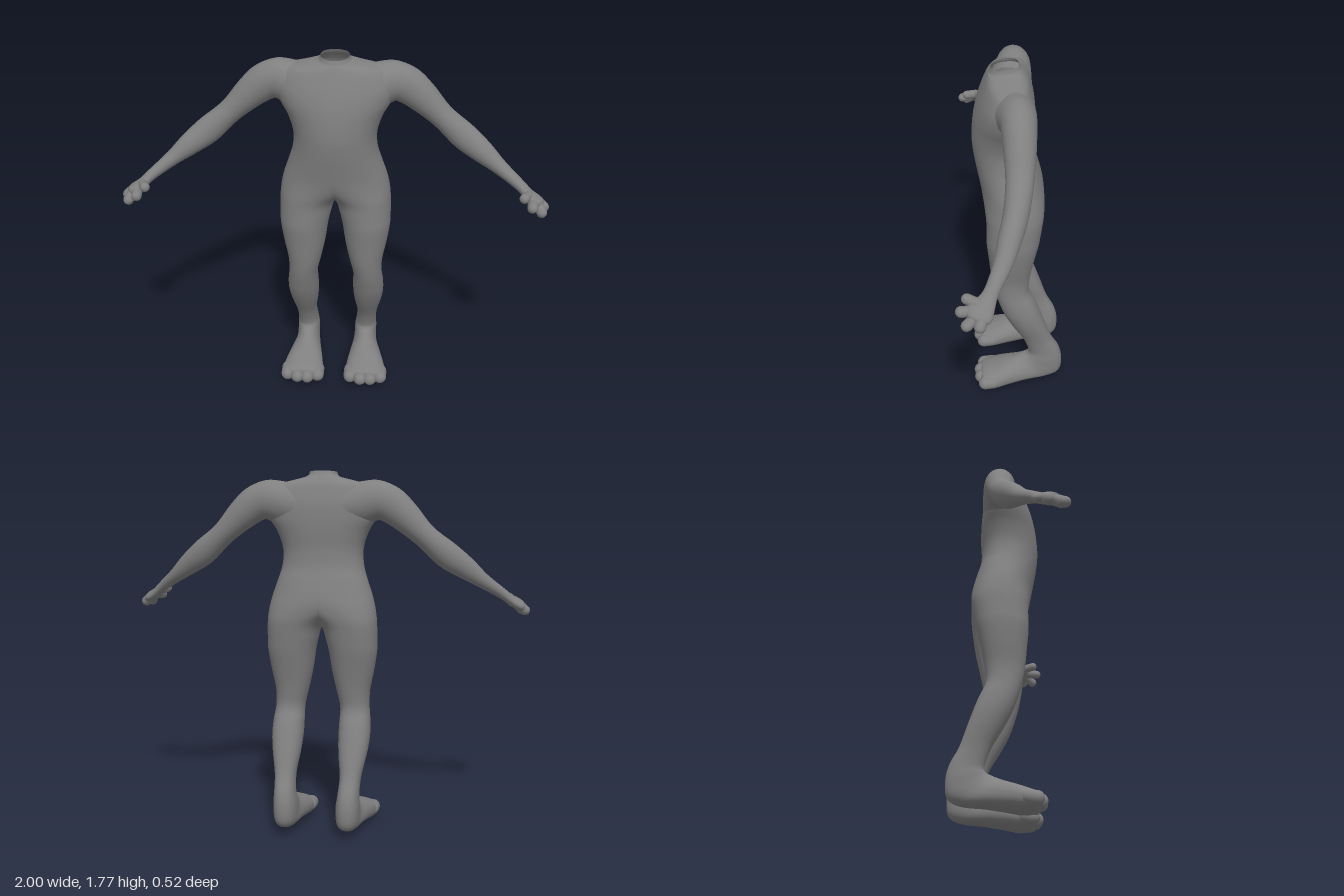
import * as THREE from 'three';

const V = (x, y, z) => new THREE.Vector3(x, y, z);
const material = new THREE.MeshStandardMaterial({ color: 0x808080, side: THREE.DoubleSide });

// Smooth skin through sections [centre, u axis, v axis, back ratio]; side = -1 mirrors it in x
function loft(name, sections, side, { power = 1, backPower = 1, around = 40, steps = 5 } = {}) {
  const spline = (points) => new THREE.CatmullRomCurve3(points, false, 'catmullrom');
  const curves = [0, 1, 2].map((k) => spline(sections.map((s) => s[k])));
  const backs = spline(sections.map((s) => V(s[3] ?? 1, 0, 0)));
  const rows = (sections.length - 1) * steps;
  const positions = [], index = [];
  const bend = (value, p) => Math.sign(value) * Math.abs(value) ** p;
  for (let i = 0; i <= rows; i++) {
    const [c, u, v] = curves.map((curve) => curve.getPoint(i / rows));
    const back = backs.getPoint(i / rows).x;
    for (let j = 0; j < around; j++) {
      const a = (j / around) * Math.PI * 2;
      const sn = Math.sin(a), p = sn < 0 ? backPower : power;
      const point = c.clone().addScaledVector(u, bend(Math.cos(a), p))
        .addScaledVector(v, bend(sn, p) * (sn < 0 ? back : 1));
      positions.push(point.x * side, point.y, point.z);
      if (i === rows) continue;
      const k = i * around + j, n = i * around + (j + 1) % around;
      if (side > 0) index.push(k, n, k + around, n, n + around, k + around);
      else index.push(k, k + around, n, n, k + around, n + around);
    }
  }
  const geometry = new THREE.BufferGeometry();
  geometry.setAttribute('position', new THREE.Float32BufferAttribute(positions, 3));
  geometry.setIndex(index);
  geometry.computeVertexNormals();
  // keep only the model's own half, so both halves meet smoothly at x = 0
  const kept = [];
  for (let t = 0; t < index.length; t += 3) {
    const face = index.slice(t, t + 3);
    if (face.some((k) => positions[k * 3] * side > 1e-5)) kept.push(...face);
  }
  geometry.setIndex(kept);
  const mesh = new THREE.Mesh(geometry, material);
  mesh.name = name;
  return mesh;
}

// Rounded finger or toe between two points
function digit(name, from, to, radius, side) {
  const a = V(from[0] * side, from[1], from[2]), b = V(to[0] * side, to[1], to[2]);
  const mesh = new THREE.Mesh(new THREE.CapsuleGeometry(radius, a.distanceTo(b), 8, 16), material);
  mesh.position.copy(a).lerp(b, 0.5);
  mesh.quaternion.setFromUnitVectors(V(0, 1, 0), b.clone().sub(a).normalize());
  mesh.name = name;
  return mesh;
}

// Torso: y, half width, front z, back z, z of the widest line
const torso = [
  [1.763, 0.066, 0.088, -0.038, 0.02], [1.742, 0.078, 0.096, -0.05, 0.02],
  [1.726, 0.14, 0.102, -0.068, 0], [1.695, 0.24, 0.116, -0.085, -0.015],
  [1.62, 0.28, 0.145, -0.106, -0.02], [1.55, 0.262, 0.165, -0.112, -0.015],
  [1.48, 0.222, 0.176, -0.112, 0], [1.4, 0.197, 0.18, -0.108, 0.01],
  [1.32, 0.2, 0.172, -0.115, 0.01], [1.25, 0.22, 0.16, -0.135, 0],
  [1.18, 0.244, 0.147, -0.153, -0.005],
].map(([y, w, front, back, z], i) => [
  V(0, y, z), V(w, 0, 0), V(0, i < 2 ? -0.007 : 0, front - z), (z - back) / (front - z)]);

// Hip, leg and foot: front point (z, y), back point (z, y), inner x, outer x
const leg = [
  [0.138, 1.14, -0.158, 1.14, -0.19, 0.255], [0.13, 1.1, -0.158, 1.1, -0.11, 0.263],
  [0.124, 1.06, -0.155, 1.06, -0.035, 0.268], [0.12, 1.02, -0.149, 1.02, 0.003, 0.27],
  [0.12, 0.96, -0.14, 0.96, 0.021, 0.271],
  [0.12, 0.9, -0.13, 0.9, 0.035, 0.27], [0.11, 0.8, -0.108, 0.8, 0.05, 0.255],
  [0.1, 0.7, -0.09, 0.7, 0.072, 0.236], [0.085, 0.62, -0.085, 0.62, 0.09, 0.235],
  [0.065, 0.55, -0.115, 0.55, 0.09, 0.243], [0.04, 0.48, -0.142, 0.48, 0.09, 0.245],
  [0, 0.4, -0.17, 0.4, 0.096, 0.235], [-0.058, 0.3, -0.205, 0.3, 0.11, 0.215],
  [-0.088, 0.215, -0.245, 0.225, 0.106, 0.21], [-0.078, 0.187, -0.262, 0.15, 0.098, 0.213],
  [-0.058, 0.177, -0.252, 0.07, 0.096, 0.213], [-0.035, 0.167, -0.19, 0.036, 0.092, 0.217],
  [0, 0.152, -0.08, 0.026, 0.08, 0.235], [0.05, 0.135, 0.02, 0.012, 0.067, 0.255],
  [0.1, 0.116, 0.08, 0.003, 0.06, 0.268], [0.135, 0.102, 0.13, 0.008, 0.06, 0.271],
  [0.158, 0.088, 0.155, 0.022, 0.075, 0.258], [0.164, 0.056, 0.164, 0.054, 0.164, 0.166],
].map(([fz, fy, bz, by, a, b]) => [
  V((a + b) / 2, (fy + by) / 2, (fz + bz) / 2), V((b - a) / 2, 0, 0), V(0, (fy - by) / 2, (fz - bz) / 2)]);

// Arm and palm: centre, thickness radius, width radius
const armRows = [
  [0.12, 1.6, 0, 0.105, 0.105], [0.2, 1.617, -0.013, 0.103, 0.094],
  [0.27, 1.63, -0.023, 0.095, 0.082],
  [0.33, 1.61, -0.025, 0.086, 0.076], [0.4, 1.555, -0.025, 0.074, 0.07],
  [0.495, 1.465, -0.02, 0.057, 0.06], [0.6, 1.375, 0, 0.064, 0.055],
  [0.69, 1.31, 0.03, 0.053, 0.05], [0.77, 1.25, 0.06, 0.036, 0.04],
  [0.86, 1.187, 0.108, 0.026, 0.032], [0.9, 1.155, 0.135, 0.024, 0.044],
  [0.93, 1.135, 0.157, 0.027, 0.058], [0.953, 1.12, 0.172, 0.024, 0.045],
  [0.965, 1.11, 0.18, 0.001, 0.001],
];
const arm = armRows.map(([x, y, z, thick, wide], i) => {
  const p = armRows[Math.max(i - 1, 0)], n = armRows[Math.min(i + 1, armRows.length - 1)];
  const d = V(n[0] - p[0], n[1] - p[1], n[2] - p[2]).normalize();
  const v = V(0, 0, 1).addScaledVector(d, -d.z).normalize();
  return [V(x, y, z), v.clone().cross(d).multiplyScalar(thick), v.multiplyScalar(wide)];
});

const fingers = [
  ['thumb', [0.9, 1.158, 0.16], [0.876, 1.165, 0.208], 0.023],
  ['indexFinger', [0.92, 1.138, 0.18], [0.913, 1.13, 0.232], 0.024],
  ['middleFinger', [0.94, 1.125, 0.17], [0.96, 1.097, 0.21], 0.024],
  ['outerFinger', [0.94, 1.13, 0.145], [0.974, 1.1, 0.157], 0.025],
];
const toes = [[0.086, 0.145], [0.138, 0.163], [0.19, 0.161], [0.242, 0.142]];

export function createModel() {
  const model = new THREE.Group();
  model.name = 'headlessBody';
  for (const side of [1, -1]) {
    const label = side > 0 ? 'left' : 'right';
    // Half of the torso, running down into the leg and foot
    const bodyGroup = new THREE.Group();
    bodyGroup.name = `${label}Body`;
    bodyGroup.add(loft('torsoLegAndFoot', [...torso, ...leg], side, { power: 0.97, backPower: 0.85, around: 56 }));
    toes.forEach(([x, z], i) =>
      bodyGroup.add(digit(`toe${i + 1}`, [x, 0.058, 0.1], [x, 0.053, z], 0.034, side)));
    // Arm with hand
    const armGroup = new THREE.Group();
    armGroup.name = `${label}Arm`;
    armGroup.add(loft('armAndPalm', arm, side));
    for (const [name, from, to, r] of fingers) armGroup.add(digit(name, from, to, r, side));
    model.add(bodyGroup, armGroup);
  }
  return model;
}
